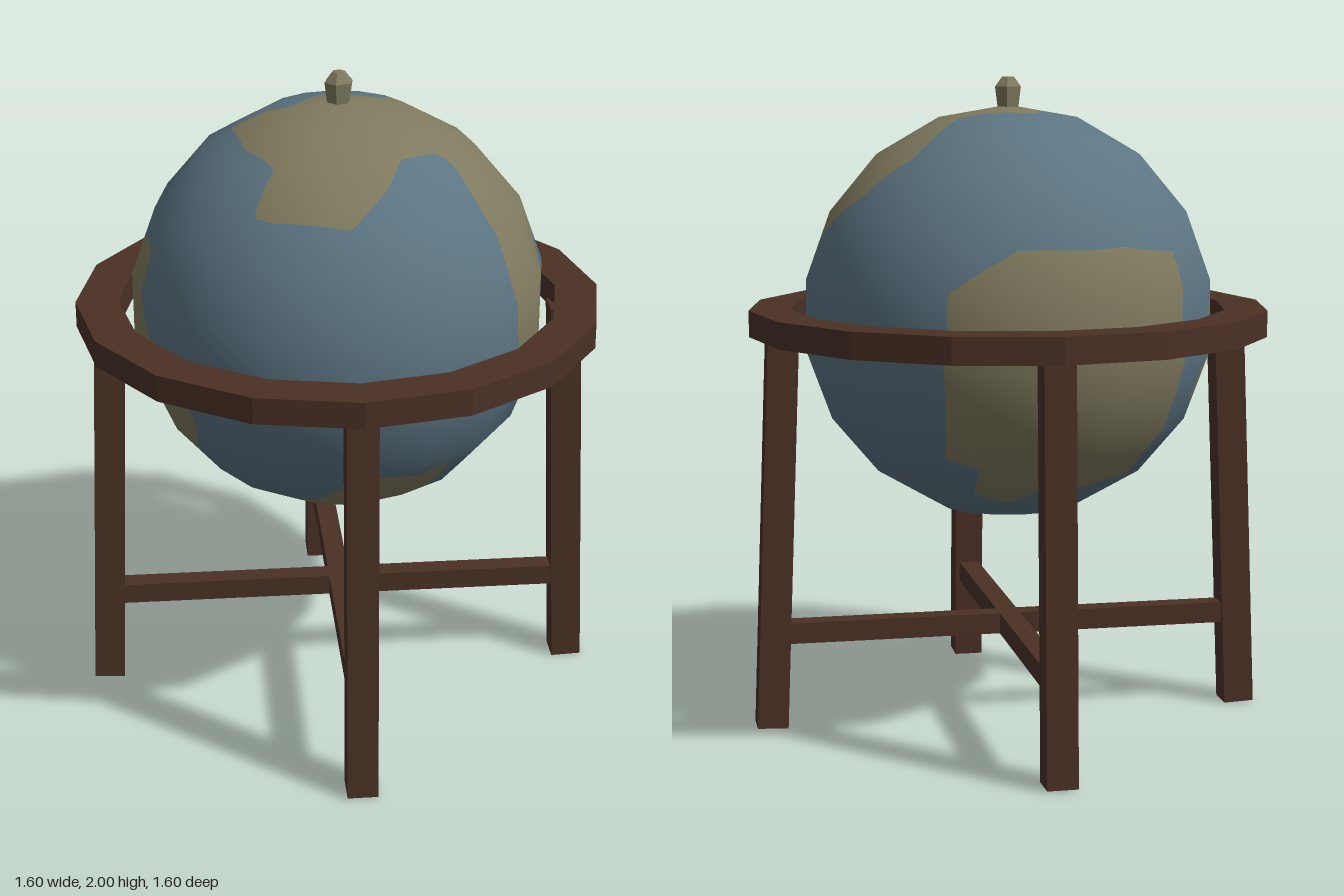
import * as THREE from 'three';

const R = 0.635, CY = 1.28;
const wood = new THREE.MeshStandardMaterial({ color: 0x4a3025 });
const ocean = new THREE.MeshStandardMaterial({ color: 0x5c7482 });
const land = new THREE.MeshStandardMaterial({ color: 0x7f7a5e });
wood.name = 'dark wood'; ocean.name = 'ocean blue'; land.name = 'land tan';

// Points on the globe, given by two coordinates and the side they lie on
const depth = (a, b) => Math.sqrt(Math.max(0, R * R - a * a - b * b));
const unit = (x, y, z) => new THREE.Vector3(x, y, z).normalize();
const top = (x, z) => unit(x, depth(x, z), z);
const under = (x, z) => unit(x, -depth(x, z), z);
const front = (x, y) => unit(x, y - CY, depth(x, y - CY));
const back = (x, y) => unit(x, y - CY, -depth(x, y - CY));
const plusX = (z, y) => unit(depth(z, y - CY), y - CY, z);
const minusX = (z, y) => unit(-depth(z, y - CY), y - CY, z);

const outlines = [
  // northern continent, reaching down the +x side
  [top(.07, -.40), top(.22, -.465), plusX(-.455, 1.62), plusX(-.376, 1.41), plusX(-.37, 1.24),
    plusX(-.30, 1.21), plusX(-.207, 1.05), plusX(-.12, 1.05), plusX(-.09, 1.34), plusX(-.065, 1.66),
    top(.34, -.06), top(.31, .09), top(.35, .2), top(.34, .35), top(.155, .455), top(.07, .475),
    top(.05, .35), top(-.10, .31), top(-.295, .17), top(-.155, .12), top(-.11, .07), top(-.13, -.06),
    top(0, -.145), top(.06, -.25)],
  // front continent
  [front(-.59, 1.33), front(-.413, 1.513), front(-.334, 1.518), front(-.32, 1.30), front(-.10, 1.22),
    front(-.085, 1.0), front(-.175, .866), front(-.387, .866), front(-.55, 1.03)],
  // back continent
  [back(-.19, 1.40), back(-.28, 1.47), minusX(-.47, 1.525), minusX(-.2, 1.525), minusX(0, 1.5),
    minusX(.03, 1.05), minusX(.01, .81), minusX(-.28, .80), under(-.18, -.26), under(-.12, -.37),
    back(-.2, .87), back(-.1, .88), back(-.18, 1.2)],
  // southern continent
  [under(.347, .355), plusX(.30, .903), plusX(.07, .903), plusX(.045, .76), plusX(-.1, .74),
    under(.22, -.26), under(.047, -.153), under(-.06, -.124), under(-.147, .02), under(-.06, .2),
    under(-.016, .30), under(.22, .35)],
];

// Flatten an outline around its own middle, keeping distances from that middle
const continents = outlines.map(points => {
  const mid = points.reduce((s, p) => s.add(p), new THREE.Vector3()).normalize();
  const u = new THREE.Vector3(.31, .53, .79).cross(mid).normalize();
  const v = mid.clone().cross(u);
  const flatten = d => {
    const a = d.dot(u), b = d.dot(v), s = Math.hypot(a, b) || 1e-9;
    const k = Math.atan2(s, d.dot(mid)) / s;
    return [a * k, b * k];
  };
  return { flatten, poly: points.map(flatten) };
});

// Signed distance to the nearest coast, positive on land
function landValue(p) {
  const d = p.clone().normalize();
  return Math.max(...continents.map(({ flatten, poly }) => {
    const [x, y] = flatten(d);
    let inside = false, near = Infinity;
    poly.forEach(([x1, y1], i) => {
      const [x2, y2] = poly[(i + 1) % poly.length];
      if ((y1 > y) !== (y2 > y) && x < x1 + (x2 - x1) * (y - y1) / (y2 - y1)) inside = !inside;
      const ex = x2 - x1, ey = y2 - y1;
      const t = THREE.MathUtils.clamp(((x - x1) * ex + (y - y1) * ey) / (ex * ex + ey * ey), 0, 1);
      near = Math.min(near, Math.hypot(x - x1 - t * ex, y - y1 - t * ey));
    });
    return inside ? near : -near;
  }));
}

// Keep the part of a triangle where sign * value is positive
function clip(tri, sign, out) {
  const kept = [];
  tri.forEach((a, i) => {
    const b = tri[(i + 1) % 3];
    if (a.v * sign >= 0) kept.push(a.p);
    if (a.v * b.v < 0) kept.push(a.p.clone().lerp(b.p, a.v / (a.v - b.v)));
  });
  for (let i = 1; i + 1 < kept.length; i++) out.push(kept[0], kept[i], kept[i + 1]);
}

function surface(points, material, name) {
  const g = new THREE.BufferGeometry().setFromPoints(points);
  const normals = points.flatMap(p => p.clone().normalize().toArray());
  g.setAttribute('normal', new THREE.Float32BufferAttribute(normals, 3));
  const m = new THREE.Mesh(g, material);
  m.name = name;
  return m;
}

// Faceted sphere, with every facet cut along the coasts
function buildGlobe() {
  const pos = new THREE.SphereGeometry(R, 16, 9).toNonIndexed().attributes.position;
  const sea = [], ground = [], n = 8;
  for (let f = 0; f < pos.count; f += 3) {
    const [a, b, c] = [0, 1, 2].map(k => new THREE.Vector3().fromBufferAttribute(pos, f + k));
    const at = (i, j) => {
      const p = a.clone().multiplyScalar((n - i - j) / n).addScaledVector(b, i / n).addScaledVector(c, j / n);
      return { p, v: landValue(p) };
    };
    const cut = tri => { clip(tri, 1, ground); clip(tri, -1, sea); };
    for (let i = 0; i < n; i++) for (let j = 0; i + j < n; j++) {
      cut([at(i, j), at(i + 1, j), at(i, j + 1)]);
      if (i + j < n - 1) cut([at(i + 1, j), at(i + 1, j + 1), at(i, j + 1)]);
    }
  }
  const globe = new THREE.Group();
  globe.name = 'globe';
  globe.position.y = CY;
  globe.add(surface(sea, ocean, 'oceans'), surface(ground, land, 'continents'));
  return globe;
}

// Lathe with hard facets
function facetedLathe(profile, sides, material, name) {
  const g = new THREE.LatheGeometry(profile.map(p => new THREE.Vector2(...p)), sides).toNonIndexed();
  g.computeVertexNormals();
  const m = new THREE.Mesh(g, material);
  m.name = name;
  return m;
}

function box(w, h, d, name) {
  const m = new THREE.Mesh(new THREE.BoxGeometry(w, h, d), wood);
  m.name = name;
  return m;
}

export function createModel() {
  const model = new THREE.Group();
  model.name = 'floorGlobe';
  model.add(buildGlobe());

  // Horizon ring
  model.add(facetedLathe([[.67, 1.22], [.8, 1.22], [.8, 1.3], [.67, 1.3], [.67, 1.22]], 16, wood, 'horizonRing'));

  // Finial on the pole
  const finial = facetedLathe([[.033, 1.89], [.044, 1.97], [.02, 2], [0, 2]], 6, land, 'finial');
  finial.rotation.y = Math.PI / 6;
  model.add(finial);

  // Four splayed legs on the diagonals
  for (let i = 0; i < 4; i++) {
    const corner = new THREE.Group();
    corner.name = 'legCorner';
    corner.rotation.y = Math.PI / 4 + i * Math.PI / 2;
    const leg = box(.095, 1.24, .092, 'leg');
    leg.position.set(.725, .622, 0);
    leg.rotation.z = .041;
    corner.add(leg);
    model.add(corner);
  }

  // Crossed stretchers
  for (const s of [-1, 1]) {
    const bar = box(1.44, .065, .065, 'stretcher');
    bar.position.y = .298;
    bar.rotation.y = s * Math.PI / 4;
    model.add(bar);
  }
  return model;
}
